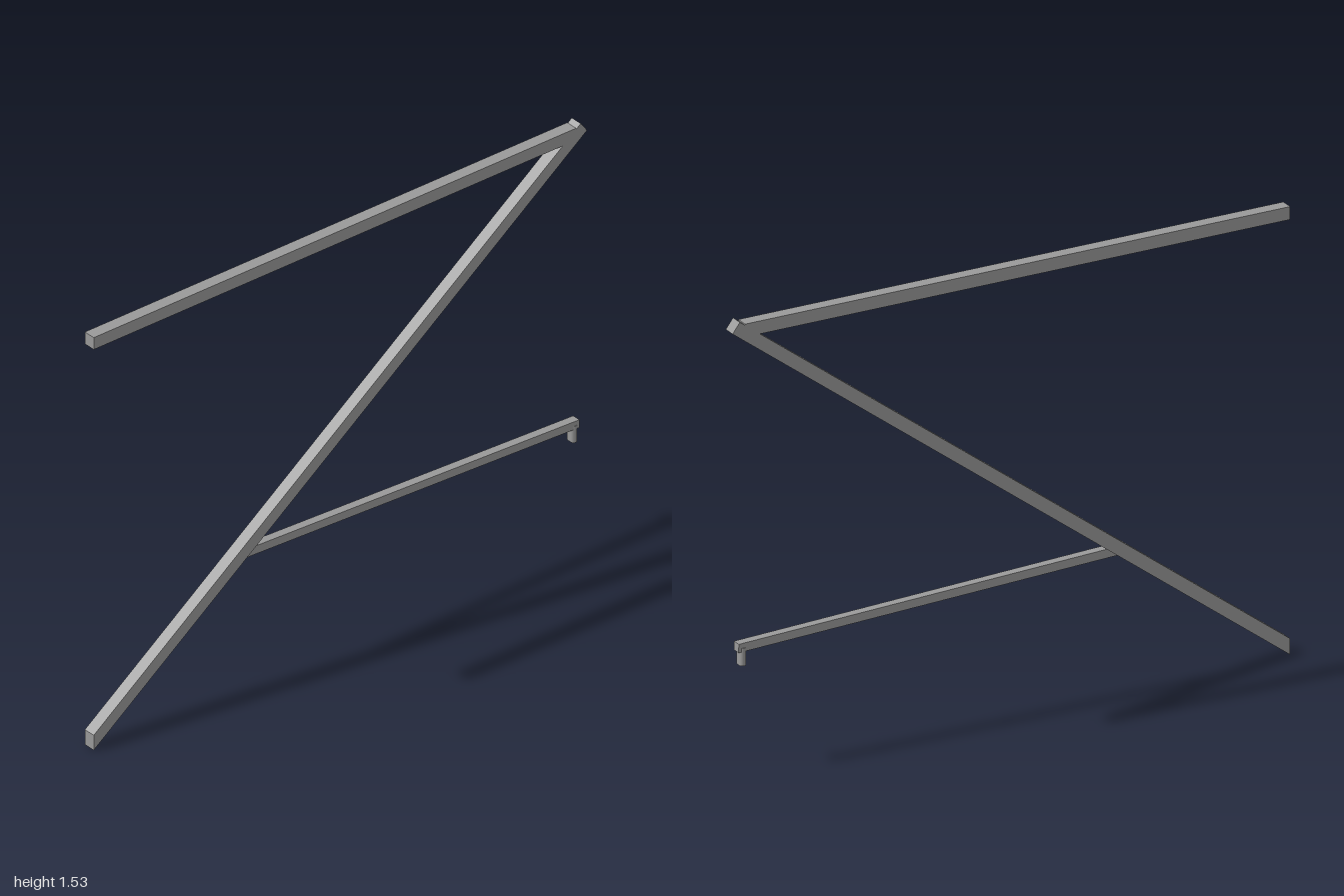
import * as THREE from 'three';

const grey = new THREE.MeshStandardMaterial({ color: 0x999999 });
grey.name = 'steel grey';

// Beam from a side outline of [z, y] corners, extruded across x
function beam(name, width, outline) {
  const shape = new THREE.Shape(outline.map(([z, y]) => new THREE.Vector2(z, y)));
  const geometry = new THREE.ExtrudeGeometry(shape, { depth: width, bevelEnabled: false });
  geometry.translate(0, 0, -width / 2);
  geometry.rotateY(-Math.PI / 2);
  const mesh = new THREE.Mesh(geometry, grey);
  mesh.name = name;
  return mesh;
}

// Upright peg with an oblong plan and rounded sides
function peg(name, width, depth, bottom, top, z) {
  const r = depth / 2, c = width / 2 - r;
  const shape = new THREE.Shape();
  shape.absarc(c, 0, r, -Math.PI / 2, Math.PI / 2, false);
  shape.absarc(-c, 0, r, Math.PI / 2, Math.PI * 1.5, false);
  const geometry = new THREE.ExtrudeGeometry(shape, { depth: top - bottom, bevelEnabled: false, curveSegments: 10 });
  geometry.rotateX(-Math.PI / 2);
  const mesh = new THREE.Mesh(geometry, grey);
  mesh.position.set(0, bottom, z);
  mesh.name = name;
  return mesh;
}

export function createModel() {
  const group = new THREE.Group();
  group.name = 'bracedFrame';
  group.add(
    // level bar along the top
    beam('topBeam', 0.044, [[1, 1.478], [1, 1.522], [-0.955, 1.522], [-0.955, 1.478]]),
    // sloping strut, cut upright at its foot and square at its head
    beam('diagonalBeam', 0.044, [[1, 0], [1, 0.055], [-0.974, 1.532], [-1, 1.497]]),
    // thinner arm leaving the strut, with a peg under its tip
    beam('lowerArm', 0.031, [[0.385, 0.461], [0.385, 0.491], [-0.974, 0.436], [-0.975, 0.407]]),
    peg('tipPeg', 0.036, 0.022, 0.36, 0.42, -0.957),
  );
  return group;
}
